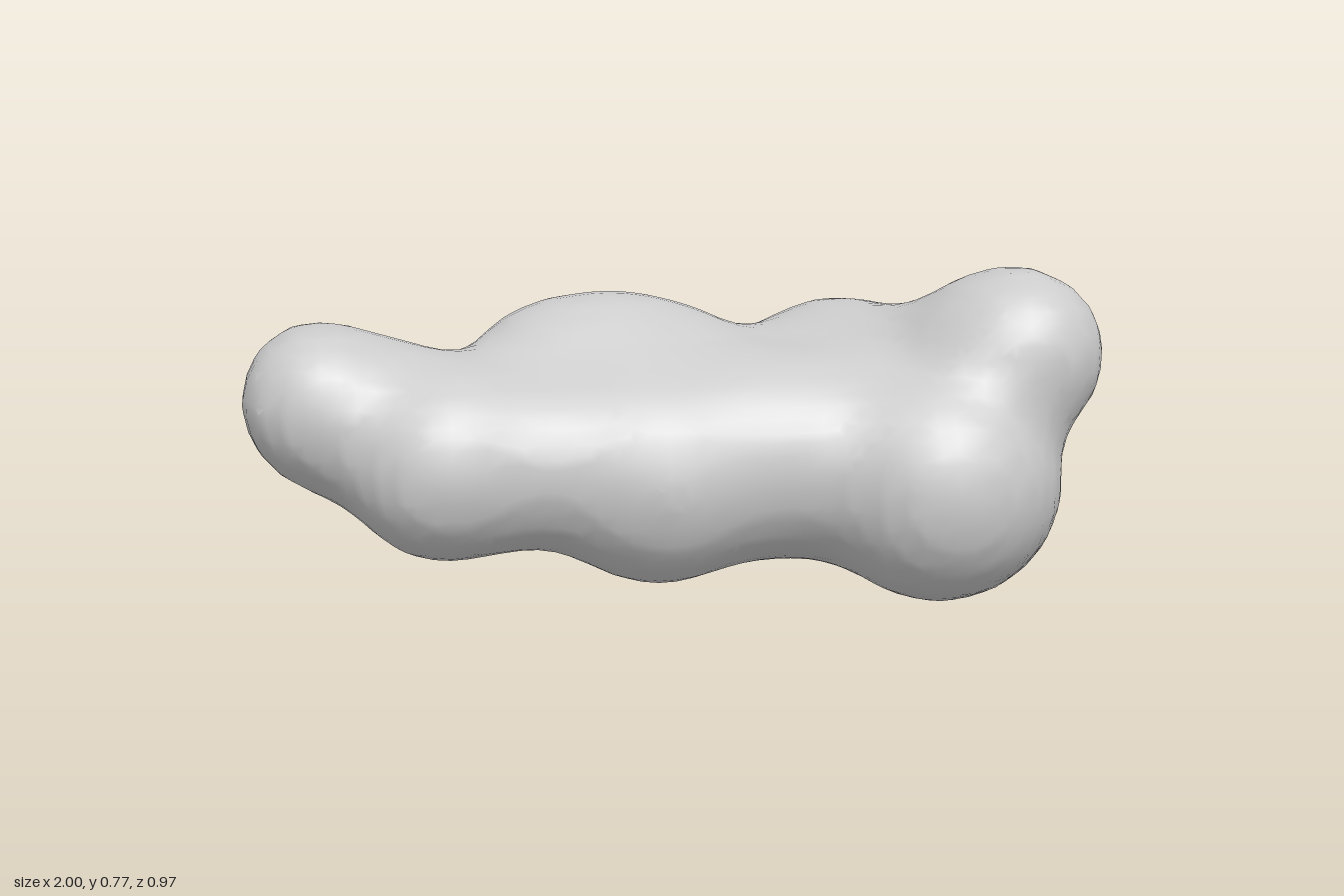
import * as THREE from 'three';

// Tapered lobes: [x, y, z, radius] at both ends
const LOBES = [
  [[-0.83, 0.485, 0.00, 0.17], [-0.83, 0.48, 0.07, 0.17]],       // left end knob
  [[-0.74, 0.43, 0.055, 0.175], [-0.57, 0.345, 0.155, 0.197]],   // taper into left shoulder
  [[-0.62, 0.41, 0.02, 0.18], [-0.50, 0.385, 0.04, 0.185]],      // back of left shoulder
  [[-0.51, 0.345, 0.14, 0.203], [0.40, 0.33, 0.135, 0.207]],     // core
  [[-0.27, 0.445, -0.085, 0.228], [0.00, 0.435, -0.10, 0.22]],   // upper back ridge
  [[-0.13, 0.445, -0.09, 0.235], [-0.05, 0.288, 0.125, 0.245]],  // middle cross lobe
  [[0.18, 0.34, 0.07, 0.24], [0.25, 0.335, 0.08, 0.24]],         // waist
  [[0.59, 0.28, 0.205, 0.281], [0.445, 0.363, -0.203, 0.285]],   // large cross lobe
  [[0.00, 0.39, -0.11, 0.195], [0.40, 0.37, -0.12, 0.20]],       // bridge between the back lobes
  [[-0.12, 0.32, 0.00, 0.19], [0.35, 0.29, -0.06, 0.19]],        // underside fill
  [[0.66, 0.25, 0.13, 0.228], [0.57, 0.31, -0.10, 0.235]],       // right flank
  [[0.803, 0.568, 0.155, 0.196], [0.803, 0.568, 0.12, 0.196]],   // raised right knob
  [[0.75, 0.52, 0.13, 0.17], [0.67, 0.38, 0.14, 0.17]],          // neck under the knob
  [[0.70, 0.525, 0.10, 0.17], [0.52, 0.435, -0.10, 0.18]],       // saddle behind the knob
];
const BLEND = 0.1;

// Signed distance to all lobes, softly merged
function field(x, y, z) {
  let d = 10;
  for (const [a, b] of LOBES) {
    const v = [b[0] - a[0], b[1] - a[1], b[2] - a[2]];
    const w = [x - a[0], y - a[1], z - a[2]];
    const len2 = v[0] * v[0] + v[1] * v[1] + v[2] * v[2];
    const t = THREE.MathUtils.clamp((w[0] * v[0] + w[1] * v[1] + w[2] * v[2]) / len2, 0, 1);
    const e = Math.hypot(w[0] - v[0] * t, w[1] - v[1] * t, w[2] - v[2] * t) - (a[3] + (b[3] - a[3]) * t);
    const h = Math.max(BLEND - Math.abs(d - e), 0) / BLEND;
    d = Math.min(d, e) - h * h * BLEND / 4;
  }
  return d;
}

// Skin the field: one vertex per crossed cell, one quad per crossed edge
function skin(cell) {
  const origin = [-1.2, -0.2, -0.7];
  const n = [2.4, 1.2, 1.4].map((s) => Math.ceil(s / cell) + 1);
  const stride = [1, n[0], n[0] * n[1]];
  const values = new Float32Array(n[0] * n[1] * n[2]);
  const at = (g) => g.map((c, i) => origin[i] + c * cell);
  const eachPoint = (visit) => {
    for (let k = 0; k < n[2]; k++)
      for (let j = 0; j < n[1]; j++)
        for (let i = 0; i < n[0]; i++) visit([i, j, k], i + j * stride[1] + k * stride[2]);
  };
  eachPoint((g, id) => { values[id] = field(...at(g)); });

  const cells = new Map();
  const sums = [];
  const index = [];
  const touch = (id, p) => {
    if (!cells.has(id)) {
      cells.set(id, sums.length);
      sums.push([0, 0, 0, 0]);
    }
    const s = sums[cells.get(id)];
    p.forEach((c, i) => { s[i] += c; });
    s[3]++;
    return cells.get(id);
  };
  eachPoint((g, id) => {
    for (let axis = 0; axis < 3; axis++) {
      if (g[axis] + 1 >= n[axis]) continue;
      const f0 = values[id], f1 = values[id + stride[axis]];
      if ((f0 < 0) === (f1 < 0)) continue;
      const p = at(g);
      p[axis] += cell * f0 / (f0 - f1);
      const b = stride[(axis + 1) % 3], c = stride[(axis + 2) % 3];
      const q = [id - b - c, id - c, id, id - b].map((k) => touch(k, p));
      if (f0 >= 0) q.reverse();
      index.push(q[0], q[1], q[2], q[0], q[2], q[3]);
    }
  });

  const geometry = new THREE.BufferGeometry();
  const positions = sums.flatMap((s) => [s[0] / s[3], s[1] / s[3], s[2] / s[3]]);
  geometry.setAttribute('position', new THREE.Float32BufferAttribute(positions, 3));
  geometry.setIndex(index);
  geometry.computeVertexNormals();
  return geometry;
}

export function createModel() {
  const model = new THREE.Group();
  model.name = 'lumpyBlob';
  const body = new THREE.Mesh(skin(0.04), new THREE.MeshStandardMaterial({ color: 0xcccccc }));
  body.name = 'body';
  model.add(body);
  return model;
}
